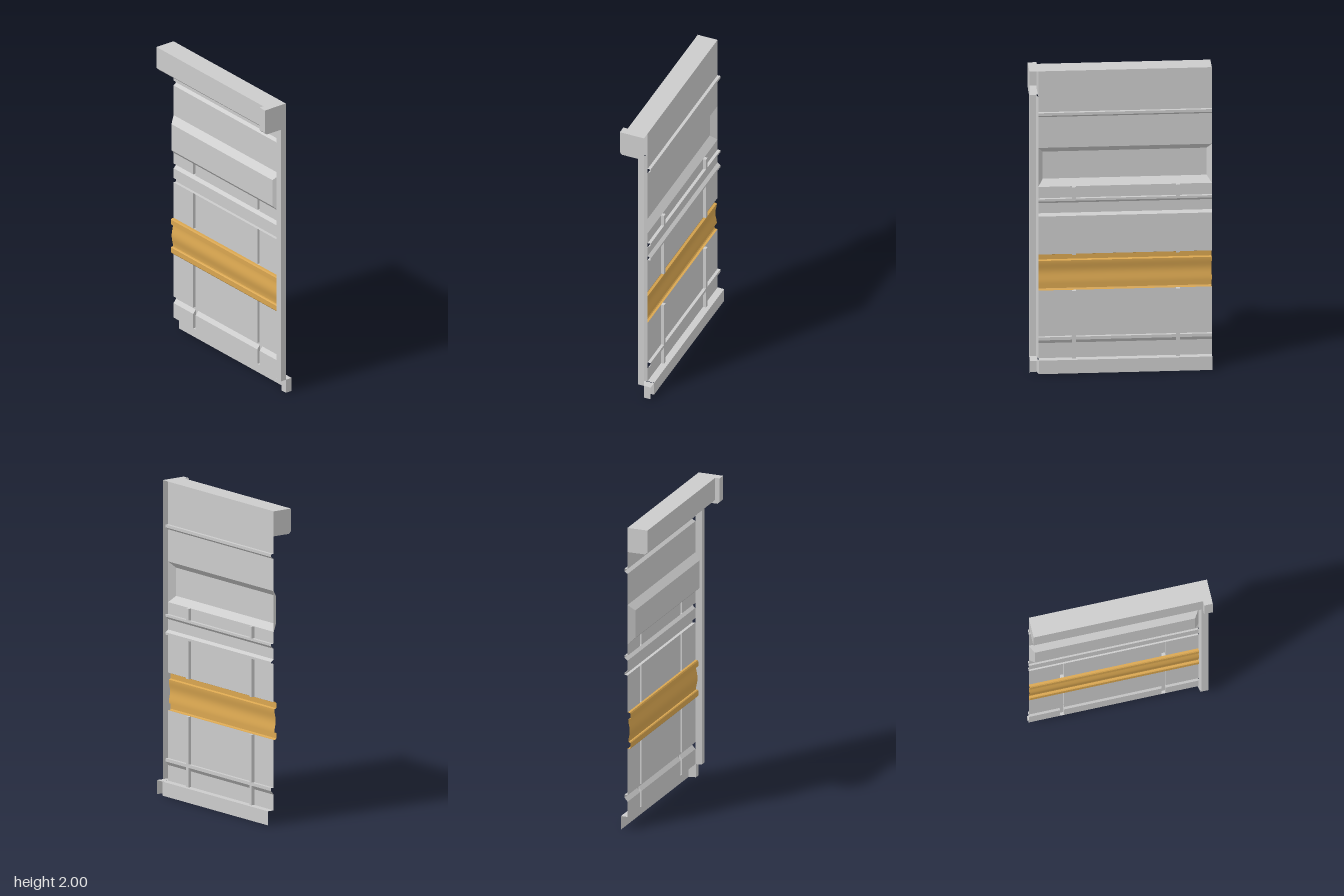
import * as THREE from 'three';

const L = -0.57, R = 0.515, OUT = 0.57;      // panel left edge, panel right edge, post outer edge
const WALL = -0.06, GROOVE = -0.08, BUMP = -0.02, KICK = -0.105;
const SEAMS = [[-0.37, -0.345], [0.28, 0.305]]; // upright grooves

const grey = new THREE.MeshStandardMaterial({ color: 0xcccccc, flatShading: true, side: THREE.DoubleSide });
const gold = new THREE.MeshStandardMaterial({ color: 0xd9a650, flatShading: true, side: THREE.DoubleSide });
const goldSmooth = new THREE.MeshStandardMaterial({ color: 0xd9a650, side: THREE.DoubleSide });

// Skin between rows of [x, y, z] points; rows run top to bottom, points left to right
function sheet(name, rows, material = grey) {
  const n = rows[0].length, index = [];
  for (let r = 0; r < rows.length - 1; r++) {
    for (let i = 0; i < n - 1; i++) {
      const a = r * n + i, c = a + n;
      index.push(a, c, a + 1, a + 1, c, c + 1);
    }
  }
  const geometry = new THREE.BufferGeometry();
  geometry.setAttribute('position', new THREE.Float32BufferAttribute(rows.flat(2), 3));
  geometry.setIndex(index);
  geometry.computeVertexNormals();
  const mesh = new THREE.Mesh(geometry, material);
  mesh.name = name;
  return mesh;
}

// Profile of [y, z] points, drawn out along x
const rail = (name, profile, x0, x1, material) =>
  sheet(name, profile.map(([y, z]) => [[x0, y, z], [x1, y, z]]), material);

// Plan of [x, z] points, drawn out along y
const upright = (name, plan, top, bottom) =>
  sheet(name, [top, bottom].map((y) => plan.map(([x, z]) => [x, y, z])));

// Horizontal groove with one sloping side
const ledgeGroove = (top, mid, low) => [[top, WALL], [top, GROOVE], [mid, GROOVE], [low, WALL]];

function createWall() {
  const wall = new THREE.Group();
  wall.name = 'wallPanel';

  // Plain upper wall with its groove
  wall.add(rail('upperWall', [[2, WALL], ...ledgeGroove(1.728, 1.71, 1.695), [1.49, WALL]], L, R));

  // Raised panel with bevelled sides
  const ring = (x0, x1, y0, y1, z) => [[x0, y1, z], [x0, y0, z], [x1, y0, z], [x1, y1, z], [x0, y1, z]];
  wall.add(sheet('raisedPanelBevel', [
    ring(L, R, 1.23, 1.49, WALL), ring(-0.54, 0.485, 1.27, 1.45, BUMP)]));
  wall.add(rail('raisedPanelFace', [[1.45, BUMP], [1.27, BUMP]], -0.54, 0.485));

  // Two grooves at mid height
  wall.add(rail('middleGrooves', [
    ...ledgeGroove(1.155, 1.14, 1.122),
    [1.055, WALL], [1.04, GROOVE], [1.025, GROOVE], [1.025, WALL]], L, R));

  // Wall fields cut by upright grooves
  const plan = [[L, WALL]];
  for (const [a, b] of SEAMS) plan.push([a, WALL], [a, GROOVE], [b, GROOVE], [b, WALL]);
  plan.push([R, WALL]);
  const fields = [[1.23, 1.155], [1.025, 0.78], [0.54, 0.235], [0.19, 0.09]];
  for (const [top, bottom] of fields) wall.add(upright('groovedField', plan, top, bottom));

  // Closed ends of the upright grooves
  for (const [a, b] of SEAMS) {
    for (const y of [1.23, 0.78, 0.54]) {
      wall.add(rail('grooveEnd', [[y, WALL], [y, GROOVE]], a, b));
    }
  }

  // Low groove, crossed by the uprights
  const low = ledgeGroove(0.235, 0.215, 0.19);
  const edges = [L, ...SEAMS.flat(), R];
  for (let i = 0; i < edges.length; i += 2) wall.add(rail('lowGroove', low, edges[i], edges[i + 1]));
  for (const [a, b] of SEAMS) {
    wall.add(rail('grooveCrossing', [[0.235, GROOVE], [0.19, GROOVE]], a, b));
    for (const x of [a, b]) {
      wall.add(sheet('crossingSide', [
        [[x, 0.215, GROOVE], [x, 0.215, GROOVE]], [[x, 0.19, WALL], [x, 0.19, GROOVE]]]));
    }
  }

  // Set-back kick board
  wall.add(rail('kickBoard', [[0.09, WALL], [0.09, KICK], [0, KICK]], L, R));
  return wall;
}

function createTrim() {
  const trim = new THREE.Group();
  trim.name = 'goldBand';
  const face = -0.04, back = -0.055;
  // Two edge rails
  trim.add(rail('upperTrimRail',
    [[0.78, WALL], [0.78, -0.045], [0.772, face], [0.74, face], [0.735, back]], L, R, gold));
  trim.add(rail('lowerTrimRail',
    [[0.585, back], [0.585, -0.045], [0.58, face], [0.547, face], [0.54, -0.045], [0.54, WALL]], L, R, gold));
  // Softly swelling middle
  const swell = [];
  for (let i = 0; i <= 24; i++) {
    const t = i / 24;
    swell.push([0.735 - 0.15 * t, back + 0.01 * Math.sin(Math.PI * t) ** 2]);
  }
  trim.add(rail('trimCentre', swell, L, R, goldSmooth));
  return trim;
}

function createHeader() {
  // Box with a chamfered lower front edge
  const shape = new THREE.Shape([[0.06, 2], [-0.075, 2], [-0.075, 1.855], [-0.06, 1.84], [0.06, 1.84]]
    .map(([x, y]) => new THREE.Vector2(x, y)));
  const geometry = new THREE.ExtrudeGeometry(shape, { depth: R - L, bevelEnabled: false });
  geometry.rotateY(Math.PI / 2).translate(L, 0, 0);
  const header = new THREE.Mesh(geometry, grey);
  header.name = 'header';
  return header;
}

function createPost() {
  const post = new THREE.Group();
  post.name = 'endPost';
  const channel = (front, back) => [[R, back], [0.525, front], [OUT, front], [OUT, back]];
  post.add(upright('postChannel', channel(BUMP, WALL), 1.83, 0.09));

  // Set-back foot with ledges above it
  post.add(upright('postFoot', channel(WALL, KICK), 0.09, 0));
  post.add(rail('footLedge', [[0.09, BUMP], [0.09, KICK]], 0.52, OUT));

  // Hollow end cap of the header, open at the back
  const profile = [[2, WALL], [2, 0.105], [1.845, 0.105], [1.83, 0.09], [1.83, BUMP]];
  post.add(rail('capShell', profile, R, OUT));
  const side = new THREE.Shape([...profile, [1.83, WALL]].map(([y, z]) => new THREE.Vector2(-z, y)));
  for (const x of [R, OUT]) {
    const cheek = new THREE.Mesh(new THREE.ShapeGeometry(side).rotateY(Math.PI / 2), grey);
    cheek.position.x = x;
    cheek.name = 'capCheek';
    post.add(cheek);
  }
  return post;
}

export function createModel() {
  const model = new THREE.Group();
  model.name = 'wallSection';
  model.add(createWall(), createTrim(), createHeader(), createPost());
  return model;
}
